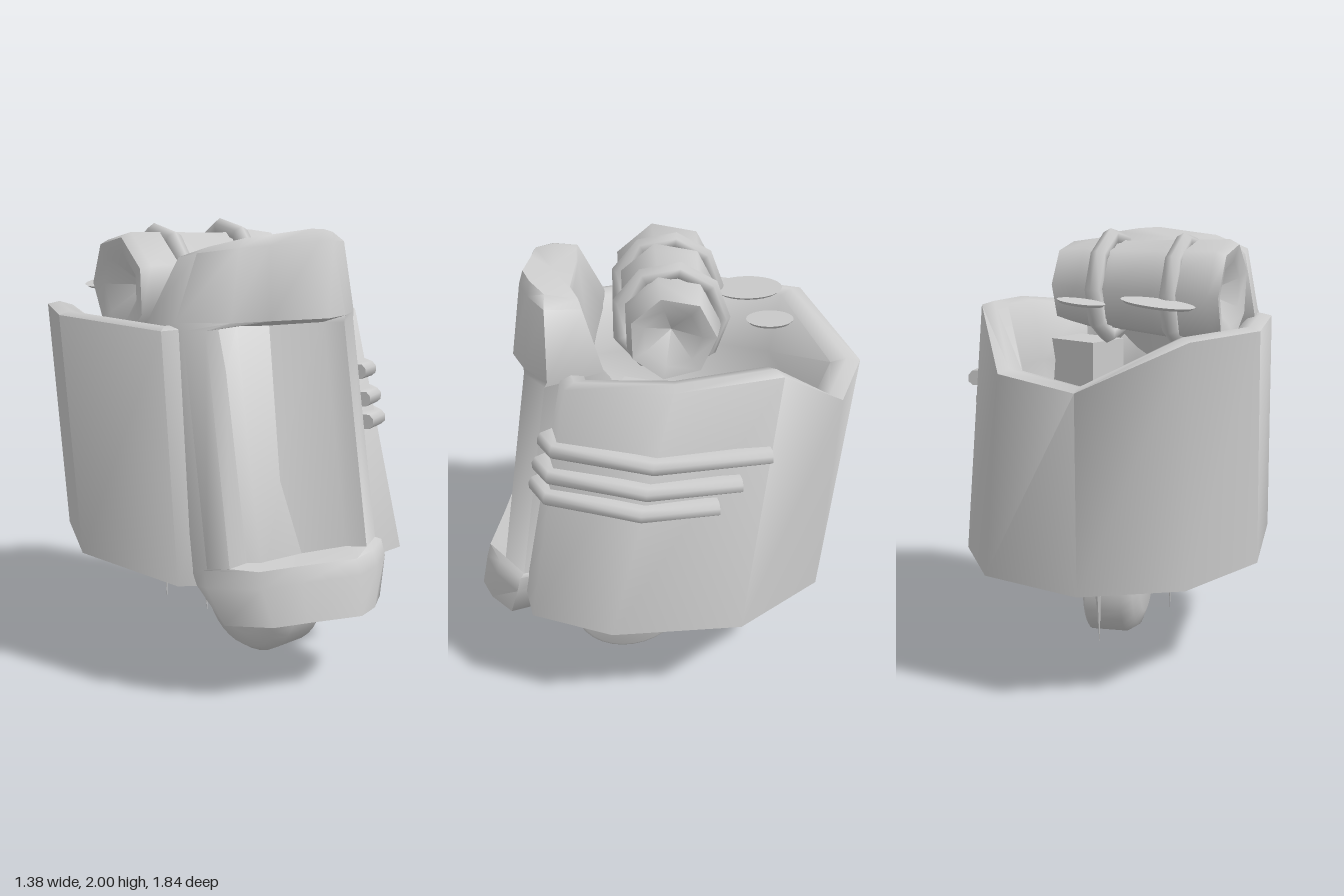
import * as THREE from 'three';
import { toCreasedNormals } from 'three/addons/utils/BufferGeometryUtils.js';

const material = new THREE.MeshStandardMaterial({ color: 0xcccccc, side: THREE.DoubleSide });

function addMesh(parent, name, geometry, crease = 0.9) {
  const mesh = new THREE.Mesh(toCreasedNormals(geometry, crease), material);
  mesh.name = name;
  parent.add(mesh);
  return mesh;
}

// Skin a list of equal-length closed loops of [x, y, z], capped at both ends
function loft(loops) {
  const n = loops[0].length, last = (loops.length - 1) * n;
  const positions = loops.flat(2), index = [];
  for (let i = 0; i < loops.length - 1; i++) {
    for (let j = 0; j < n; j++) {
      const a = i * n + j, b = i * n + (j + 1) % n;
      index.push(a, b, b + n, a, b + n, a + n);
    }
  }
  for (const loop of [loops[0], loops[loops.length - 1]]) {
    for (let k = 0; k < 3; k++) positions.push(loop.reduce((s, p) => s + p[k], 0) / n);
  }
  const c0 = loops.length * n, c1 = c0 + 1;
  for (let j = 0; j < n; j++) {
    const k = (j + 1) % n;
    index.push(c0, k, j, c1, last + j, last + k);
  }
  const g = new THREE.BufferGeometry();
  g.setAttribute('position', new THREE.Float32BufferAttribute(positions, 3));
  g.setIndex(index);
  return g;
}

// Shell outlines, from the back around the +x side
const rim = [
  [-0.02, 1.40, -0.92], [0.36, 1.43, -0.70], [0.53, 1.68, -0.37], [0.53, 1.66, 0.10], [0.32, 1.61, 0.52],
  [0, 1.60, 0.53], [-0.40, 1.60, 0.50], [-0.68, 1.58, 0.35], [-0.69, 1.59, -0.33], [-0.45, 1.59, -0.75]];
const base = [
  [0, 0.52, -0.82], [0.47, 0.51, -0.60], [0.69, 0.50, -0.18], [0.63, 0.51, 0.40], [0.43, 0.52, 0.73],
  [0.10, 0.52, 0.74], [-0.40, 0.52, 0.66], [-0.68, 0.52, 0.44], [-0.69, 0.52, -0.20], [-0.43, 0.52, -0.65]];

// Shrink a loop toward the shell axis, optionally setting its height
const inset = (loop, s, y) => loop.map(p => [-0.08 + (p[0] + 0.08) * s, y ?? p[1], -0.08 + (p[2] + 0.08) * s]);

function addShell(root) {
  // Bowl, rounded rim, outer wall, bottom lip and raised underside
  addMesh(root, 'hollowShell', loft([
    inset(base, 0.3, 0.78), inset(base, 0.6, 0.92), inset(rim, 0.74).map(p => [p[0], p[1] - 0.28, p[2]]),
    inset(rim, 0.83), inset(rim, 0.92).map(p => [p[0], p[1] + 0.015, p[2]]),
    rim, base, inset(base, 0.94), inset(base, 0.85, 0.66), inset(base, 0.6, 0.72)]), 1.3);
}

// Front shield: stacked loops with a projecting foot, recessed panel and hood
function addShield(root) {
  const full = [[-0.62, -0.50], [-0.62, -0.33], [-0.47, -0.16], [-0.30, -0.10], [-0.04, 0],
    [0.10, -0.03], [0.25, -0.11], [0.21, -0.36], [0.05, -0.33], [-0.40, -0.46]];
  const recessed = [[-0.62, -0.48], [-0.62, -0.25], [-0.55, -0.19], [-0.42, -0.20], [0.03, -0.07],
    [0.09, 0], [0.23, -0.07], [0.22, -0.36], [0.05, -0.28], [-0.40, -0.41]];
  // outline, height, foremost z, rearmost z, width factor, depth factor, backward drop
  const levels = [
    [full, 0.36, 0.92, 0.60, 0.87, 1, 0], [full, 0.53, 0.89, 0.50, 1.02, 1, 0], [full, 0.60, 0.87, 0.46, 1.01, 1, 0],
    [recessed, 0.61, 0.81, 0.46, 1.01, 1, 0], [recessed, 1.58, 0.66, 0.18, 0.99, 1, 0],
    [full, 1.61, 0.69, 0.18, 0.98, 1, 0], [full, 1.93, 0.64, 0.30, 0.84, 0.65, 0.12], [full, 1.98, 0.62, 0.32, 0.70, 0.58, 0.2]];
  addMesh(root, 'frontShield', loft(levels.map(([shape, y, z, back, w, depth, drop]) =>
    shape.map(p => [-0.19 + (p[0] + 0.19) * w, y + p[1] * drop, Math.max(back, z + p[1] * depth)]))), 1.2);
}

// Three slats wrapped around the +x side of the shell
function addSlats(root) {
  const rows = [[1.34, 0.60, -0.31], [1.22, 0.63, -0.18], [1.12, 0.65, -0.08]];
  rows.forEach(([y, zFront, zBack], i) => {
    const at = k => {
      const t = (y - base[k][1]) / (rim[k][1] - base[k][1]);
      return [0, 2].map(a => base[k][a] + (rim[k][a] - base[k][a]) * t);
    };
    const [x2, z2] = at(2), [x3, z3] = at(3), [x4, z4] = at(4);
    const end = x3 + (x2 - x3) * (z3 - zBack) / (z3 - z2);
    // x, z, outward x, outward z
    const path = [[0.24, zFront, 0.02, 0.04], [x4, z4, 0.03, 0.03], [x3, z3, 0.05, 0.02], [end, zBack, 0.045, 0]];
    addMesh(root, 'sideSlat' + (i + 1), loft(path.map(([x, z, ox, oz]) => [
      [x + ox * 0.6, y + 0.035, z + oz * 0.6], [x + ox, y + 0.015, z + oz], [x + ox, y - 0.015, z + oz],
      [x + ox * 0.6, y - 0.03, z + oz * 0.6], [x - ox, y - 0.03, z - oz], [x - ox, y + 0.035, z - oz]])), 1.2);
  });
}

// Barrel with two bands and dished ends, lying across the top
function addBarrel(root) {
  const barrel = new THREE.Group();
  barrel.name = 'barrel';
  const profile = [[0, -0.28], [0.15, -0.40], [0.225, -0.415], [0.245, -0.37], [0.225, -0.1],
    [0.21, 0.1], [0.215, 0.25], [0.19, 0.38], [0.13, 0.37], [0, 0.27]];
  addMesh(barrel, 'barrelBody', new THREE.LatheGeometry(profile.map(p => new THREE.Vector2(...p)), 7, 0.3), 1);
  for (const [name, y] of [['outerBand', -0.19], ['innerBand', 0.16]]) {
    const band = addMesh(barrel, name, new THREE.TorusGeometry(0.225, 0.04, 6, 9), 1.2);
    band.rotation.x = Math.PI / 2;
    band.position.y = y;
  }
  const axis = new THREE.Vector3(0.75, 0.03, 0.13).normalize();
  barrel.quaternion.setFromUnitVectors(new THREE.Vector3(0, 1, 0), axis);
  barrel.position.set(-0.135, 1.735, -0.025);
  root.add(barrel);

  const mount = addMesh(root, 'barrelMount', new THREE.BoxGeometry(0.28, 0.6, 0.22));
  mount.position.set(0.19, 1.17, 0.18);
  mount.rotation.y = -0.5;
}

// Thin, slightly tilted dish above the bowl
function addDish(root, name, radius, top) {
  const dish = addMesh(root, name, new THREE.CylinderGeometry(radius, radius * 0.9, 0.012, 24));
  dish.position.set(...top);
  dish.rotation.z = 0.12;
}

// Thin slanted spike hanging from the underside
function addSpike(root, name, tip, top, radius) {
  const ring = (p, r) => [0, 1, 2, 3, 4, 5].map(k =>
    [p[0] + r * Math.sin(k * Math.PI / 3), p[1], p[2] + r * Math.cos(k * Math.PI / 3)]);
  addMesh(root, name, loft([ring(tip, 0.001), ring(top, radius)]));
}

// Wheel and its column
function addWheel(root) {
  const profile = [[0, -0.135], [0.18, -0.13], [0.25, -0.105], [0.285, -0.05], [0.285, 0.125], [0.27, 0.135], [0, 0.135]];
  const wheel = addMesh(root, 'wheel', new THREE.LatheGeometry(profile.map(p => new THREE.Vector2(...p)), 32), 0.7);
  wheel.rotation.z = -Math.PI / 2;
  wheel.position.set(0.025, 0.285, 0.22);
  const column = addMesh(root, 'wheelColumn', new THREE.CylinderGeometry(0.17, 0.16, 0.42, 6), 1.1);
  column.position.set(0.025, 0.52, 0.23);
}

export function createModel() {
  const root = new THREE.Group();
  root.name = 'oneWheeledPod';
  addShell(root);
  addShield(root);
  addSlats(root);
  addBarrel(root);
  addDish(root, 'largeDish', 0.16, [-0.265, 1.705, -0.43]);
  addDish(root, 'smallDish', 0.105, [0.065, 1.705, -0.44]);
  addSpike(root, 'rightSpike', [-0.275, 0.24, -0.10], [-0.275, 0.74, -0.115], 0.02);
  addSpike(root, 'leftSpike', [0.05, 0.07, -0.17], [0.05, 0.74, -0.25], 0.035);
  addWheel(root);
  return root;
}
